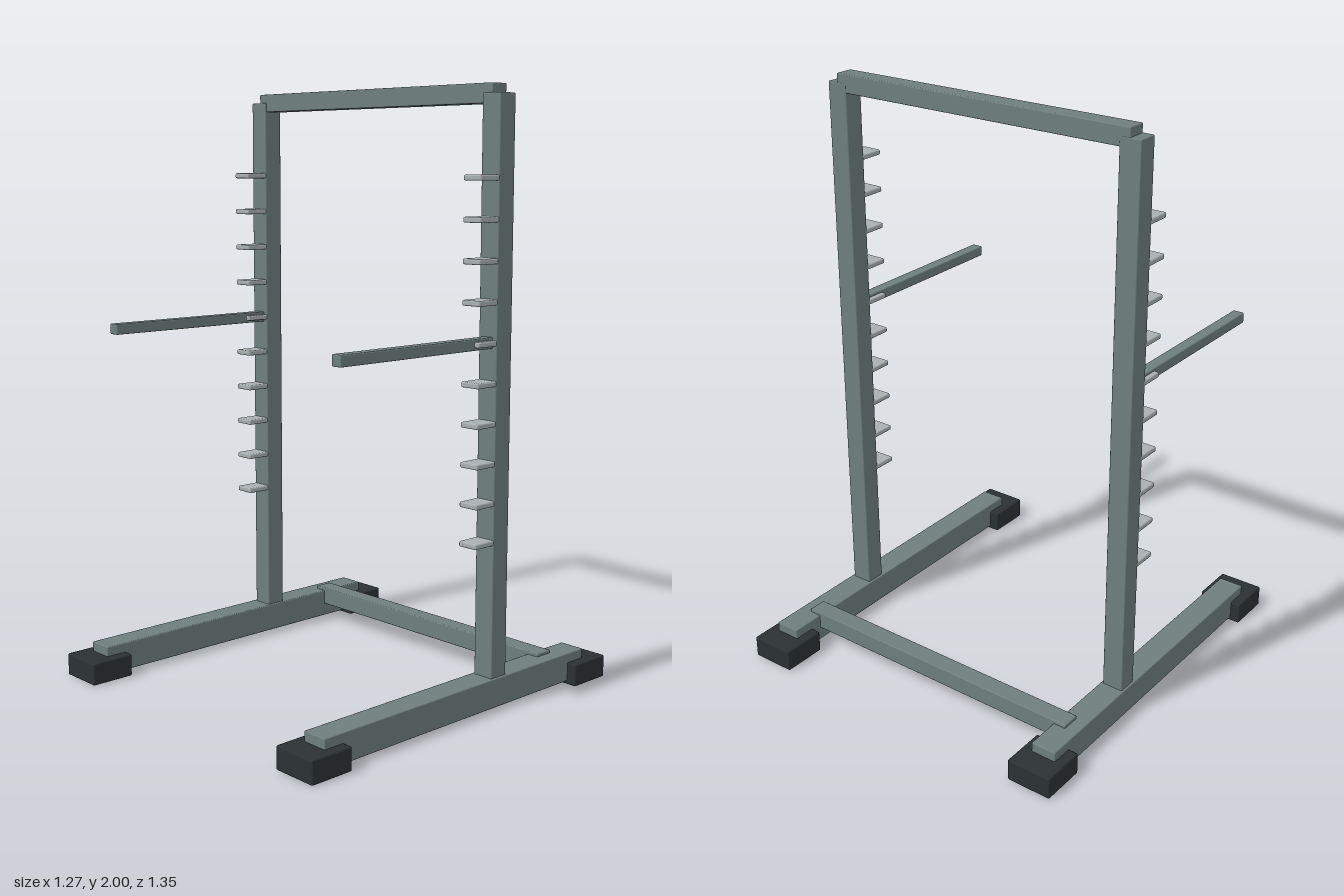
import * as THREE from 'three';
import { RoundedBoxGeometry } from 'three/addons/geometries/RoundedBoxGeometry.js';

const steel = new THREE.MeshStandardMaterial({ color: 0x6f7e7e });
const brightSteel = new THREE.MeshStandardMaterial({ color: 0xa9b0b2 });
const rubber = new THREE.MeshStandardMaterial({ color: 0x2b3133 });

// Bar with slightly eased edges, given by its extents on each axis
function bar(name, material, [x0, x1], [y0, y1], [z0, z1], radius = 0.004) {
  const geometry = new RoundedBoxGeometry(x1 - x0, y1 - y0, z1 - z0, 2, radius);
  const mesh = new THREE.Mesh(geometry, material);
  mesh.position.set((x0 + x1) / 2, (y0 + y1) / 2, (z0 + z1) / 2);
  mesh.name = name;
  return mesh;
}

// Extents of a given width about a centre
const around = (centre, width) => [centre - width / 2, centre + width / 2];

function createSide(sign) {
  const side = new THREE.Group();
  side.name = sign > 0 ? 'leftSide' : 'rightSide';
  const x = sign * 0.556;

  // Floor rail and upright post
  side.add(bar('baseRail', steel, around(x, 0.09), [0.012, 0.11], [-0.598, 0.597]));
  side.add(bar('upright', steel, around(x, 0.074), [0.1, 1.97], [-0.207, -0.136]));

  // Rubber feet wrapping the rail ends
  for (const end of [-1, 1]) {
    side.add(bar(end > 0 ? 'frontFoot' : 'rearFoot', rubber,
      around(x, 0.16), [0, 0.077], around(end * 0.598, 0.158), 0.006));
  }

  // Ladder of bar rests on the front of the post
  for (let i = 0; i < 10; i++) {
    side.add(bar('barRest', brightSteel,
      around(x, 0.073), around(0.56 + i * 0.128, 0.018), [-0.14, -0.053], 0.005));
  }

  // Long safety arm
  side.add(bar('safetyArm', steel, around(x, 0.04), [1.182, 1.218], [-0.15, 0.511]));
  return side;
}

export function createModel() {
  const rack = new THREE.Group();
  rack.name = 'squatRack';
  rack.add(createSide(1), createSide(-1));

  // Beams joining the two sides
  rack.add(bar('topBeam', steel, [-0.556, 0.556], [1.938, 2], [-0.206, -0.141]));
  rack.add(bar('rearBeam', steel, [-0.556, 0.556], [0.058, 0.121], [-0.479, -0.413]));
  return rack;
}
